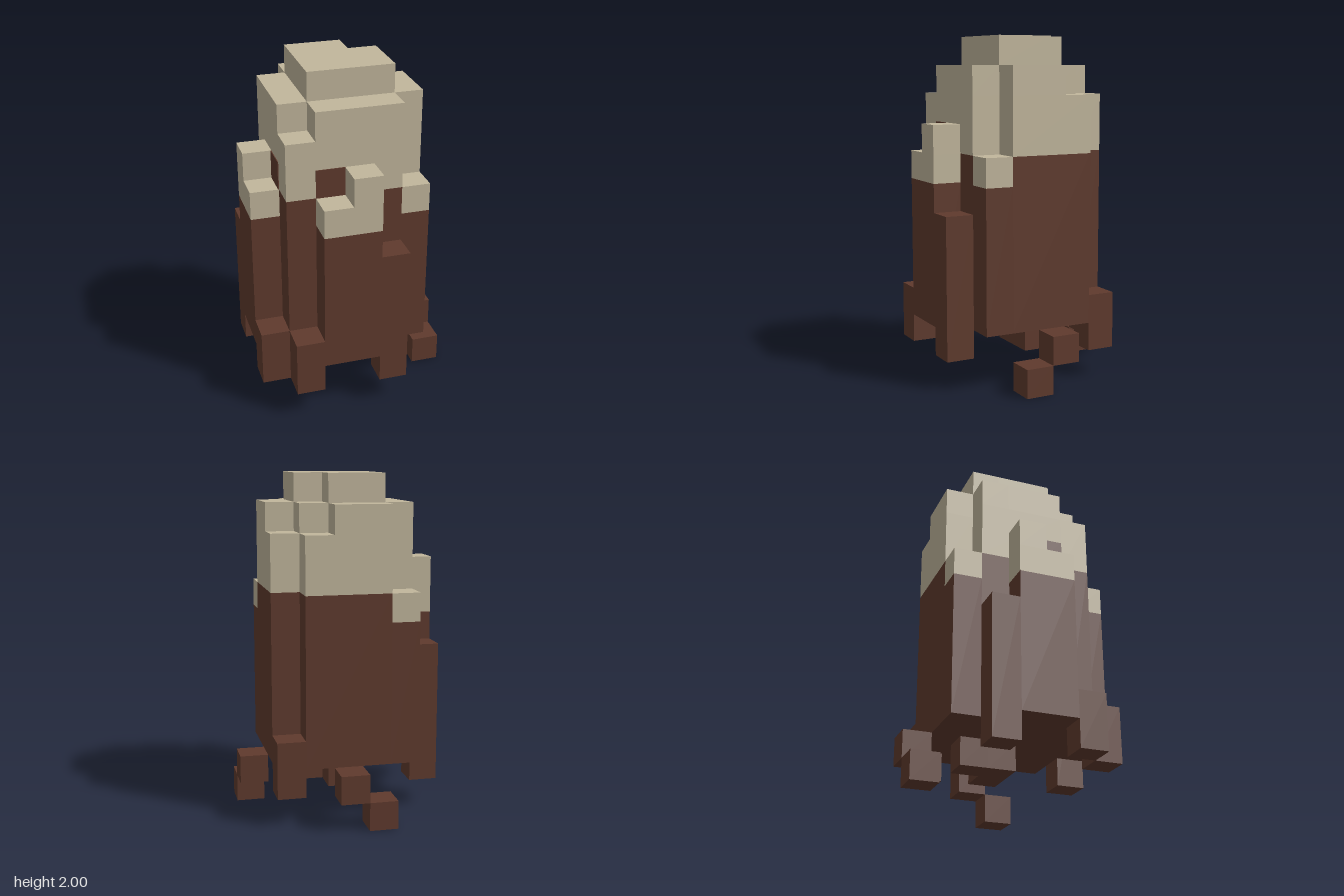
import * as THREE from 'three';

const U = 1 / 6; // edge of one grid cube
const tan = new THREE.MeshStandardMaterial({ color: 0xc1b69c });
tan.name = 'tan';
const brown = new THREE.MeshStandardMaterial({ color: 0x5f3a2d });
brown.name = 'brown';

export function createModel() {
  const model = new THREE.Group();
  model.name = 'blockFigure';

  // Box between grid lines: x and z run 0..7, y runs 0..12
  function block(name, mat, [x0, x1], [y0, y1], [z0, z1]) {
    const geo = new THREE.BoxGeometry((x1 - x0) * U, (y1 - y0) * U, (z1 - z0) * U);
    const mesh = new THREE.Mesh(geo, mat);
    mesh.name = name;
    mesh.position.set(((x0 + x1) / 2 - 3.5) * U, ((y0 + y1) / 2) * U, ((z0 + z1) / 2 - 3.5) * U);
    model.add(mesh);
  }

  // Block plus its reflection across the diagonal plane x = -z
  function pair(name, mat, x, y, z) {
    block(name, mat, x, y, z);
    block(name + 'Mirrored', mat, [7 - z[1], 7 - z[0]], y, [7 - x[1], 7 - x[0]]);
  }

  // Body and lower head share a footprint with three corners cut away
  for (const [name, mat, y] of [['body', brown, [2, 8]], ['lowerHead', tan, [8, 10]]]) {
    block(name + 'Core', mat, [1, 6], y, [2, 5]);
    block(name + 'Front', mat, [1, 5], y, [5, 6]);
    block(name + 'Back', mat, [2, 5], y, [1, 2]);
  }

  // Stepped crown
  block('upperHeadCore', tan, [1, 6], [10, 11], [3, 5]);
  block('upperHeadRear', tan, [1, 5], [10, 11], [2, 3]);
  block('upperHeadFront', tan, [2, 5], [10, 11], [5, 6]);
  block('upperHeadBack', tan, [2, 4], [10, 11], [1, 2]);
  block('crown', tan, [2, 5], [11, 12], [3, 5]);
  block('crownBack', tan, [2, 4], [11, 12], [2, 3]);

  // Corner posts with pale caps
  pair('cornerPost', brown, [5, 6], [2, 7], [5, 6]);
  pair('cornerCap', tan, [5, 6], [7, 8], [5, 6]);

  // Flaps on the front and left, with a dark patch on the head above the low step
  pair('flap', brown, [2, 4], [2, 7], [6, 7]);
  pair('flapTrim', tan, [2, 4], [7, 8], [6, 7]);
  pair('flapTip', tan, [3, 4], [8, 9], [6, 7]);
  pair('headPatch', brown, [2, 3], [8, 9], [6, 6.03]);

  // Long strips, feet and trailing cubes
  pair('strip', brown, [4, 5], [1, 6], [6, 7]);
  pair('foot', brown, [1, 2], [1, 3], [6, 7]);
  block('rearFoot', brown, [5, 6], [1, 3], [1, 2]);
  pair('trailUpper', brown, [6, 7], [1, 2], [3, 4]);
  pair('trailLower', brown, [6, 7], [0, 1], [4, 5]);

  // Stubs under the body
  block('underStub', brown, [3, 4], [1, 2], [3, 4]);
  pair('underStubSide', brown, [4, 5], [1, 2], [3, 4]);

  return model;
}
